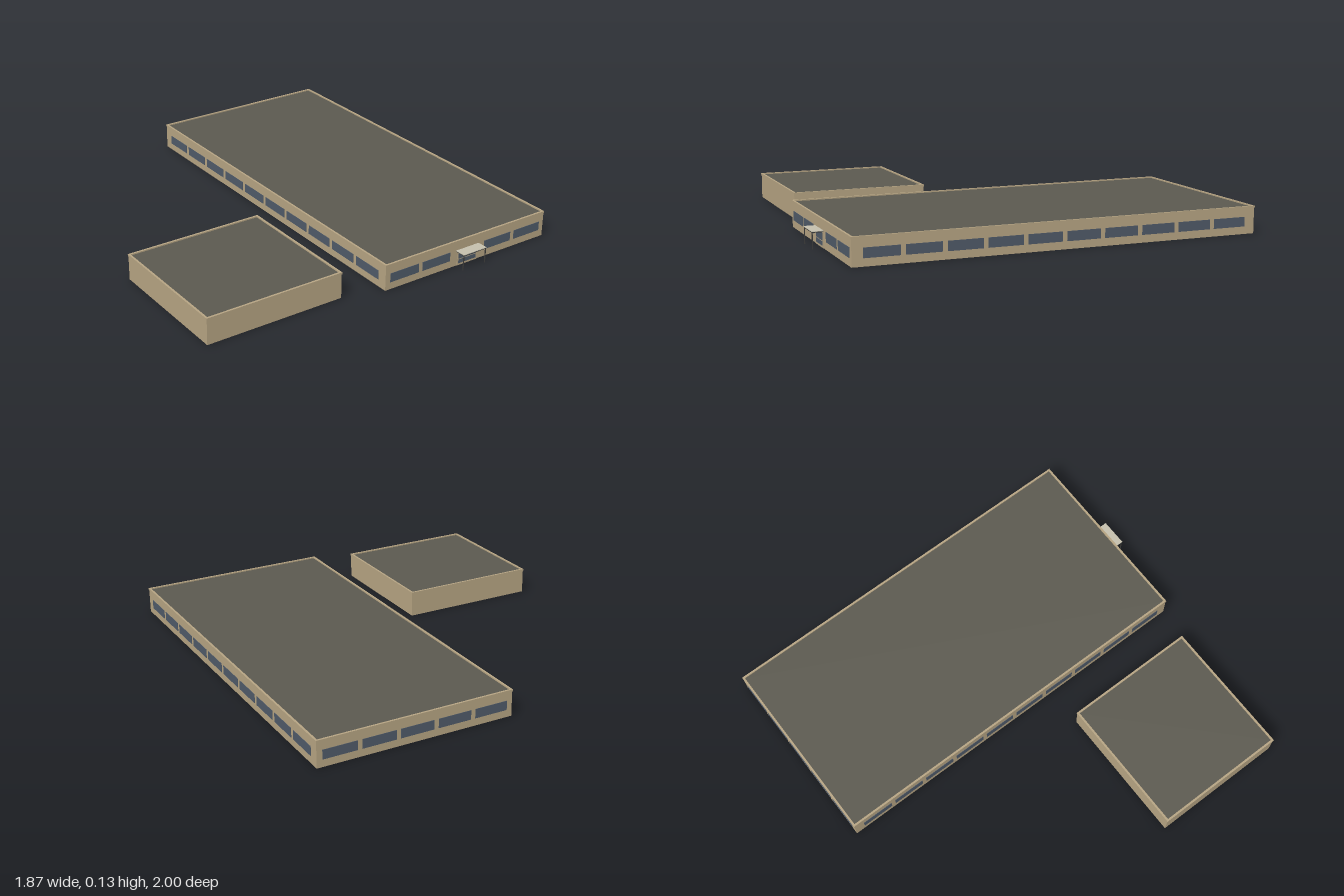
import * as THREE from 'three';

const mat = (name, color) => {
  const m = new THREE.MeshStandardMaterial({ color });
  m.name = name;
  return m;
};

export function createModel() {
  const model = new THREE.Group();
  const wall = mat('tan wall', 0xb5a382);
  const roof = mat('dark roof', 0x5b594f);
  const glass = mat('blue grey glass', 0x4f5a68);
  const frame = mat('dark metal', 0x3c3c3a);
  const canopyPaint = mat('pale canopy', 0xc4bfad);

  const box = (parent, name, material, w, h, d, x, y, z) => {
    const mesh = new THREE.Mesh(new THREE.BoxGeometry(w, h, d), material);
    mesh.name = name;
    mesh.position.set(x, y, z);
    parent.add(mesh);
    return mesh;
  };

  // Upright rectangular ring, open at top and bottom
  const ring = (parent, name, material, w, d, thickness, y0, y1) => {
    const rect = (T, a, b) => new T([
      new THREE.Vector2(-a, -b), new THREE.Vector2(a, -b),
      new THREE.Vector2(a, b), new THREE.Vector2(-a, b)]);
    const shape = rect(THREE.Shape, w / 2, d / 2);
    shape.holes.push(rect(THREE.Path, w / 2 - thickness, d / 2 - thickness));
    const geo = new THREE.ExtrudeGeometry(shape, { depth: y1 - y0, bevelEnabled: false });
    geo.rotateX(-Math.PI / 2).translate(0, y0, 0);
    const mesh = new THREE.Mesh(geo, material);
    mesh.name = name;
    parent.add(mesh);
  };

  // Open-bottomed hall with a parapet around a recessed roof
  const hall = (name, x0, x1, z0, z1) => {
    const g = new THREE.Group();
    g.name = name;
    g.position.set((x0 + x1) / 2, 0, (z0 + z1) / 2);
    const w = x1 - x0, d = z1 - z0;
    ring(g, 'walls', wall, w - 0.004, d - 0.004, 0.006, 0, 0.122);
    ring(g, 'parapet', wall, w, d, 0.01, 0.12, 0.13);
    box(g, 'roof', roof, w - 0.014, 0.004, d - 0.014, 0, 0.122, 0);
    model.add(g);
    return { g, w, d };
  };

  hall('annex', -0.933, -0.232, 0.208, 0.886);
  const { g, w, d } = hall('mainHall', -0.036, 0.932, -1, 0.947);

  // Window bands on all four sides
  const pitch = 0.1864, winW = 0.164, winH = 0.045, winY = 0.0585;
  for (let i = -2; i <= 2; i++) {
    if (i !== 0) box(g, 'frontWindow', glass, winW, winH, 0.003, i * pitch, winY, d / 2 - 0.0015);
    box(g, 'backWindow', glass, winW, winH, 0.003, i * pitch, winY, -d / 2 + 0.0015);
  }
  for (let i = 0; i < 10; i++) {
    for (const s of [-1, 1]) {
      box(g, 'sideWindow', glass, 0.003, winH, winW, s * (w / 2 - 0.0015), winY, (i - 4.5) * pitch);
    }
  }

  // Entrance: framed door with an upper and a lower pane
  const entrance = new THREE.Group();
  entrance.name = 'entrance';
  entrance.position.set(0, 0, d / 2);
  g.add(entrance);
  box(entrance, 'doorPanel', wall, 0.12, 0.074, 0.003, 0, 0.037, -0.0012);
  box(entrance, 'upperPane', glass, 0.106, 0.036, 0.003, 0, 0.052, 0);
  box(entrance, 'lowerPane', glass, 0.106, 0.02, 0.003, 0, 0.02, 0);

  // Canopy on two thin posts
  box(entrance, 'canopy', canopyPaint, 0.138, 0.003, 0.054, 0, 0.0795, 0.026);
  box(entrance, 'canopyBeam', frame, 0.138, 0.004, 0.003, 0, 0.076, 0.05);
  for (const s of [-1, 1]) {
    box(entrance, 'canopyPost', frame, 0.004, 0.078, 0.004, s * 0.066, 0.039, 0.05);
    box(entrance, 'canopyRail', frame, 0.003, 0.004, 0.05, s * 0.066, 0.076, 0.025);
  }

  return model;
}
